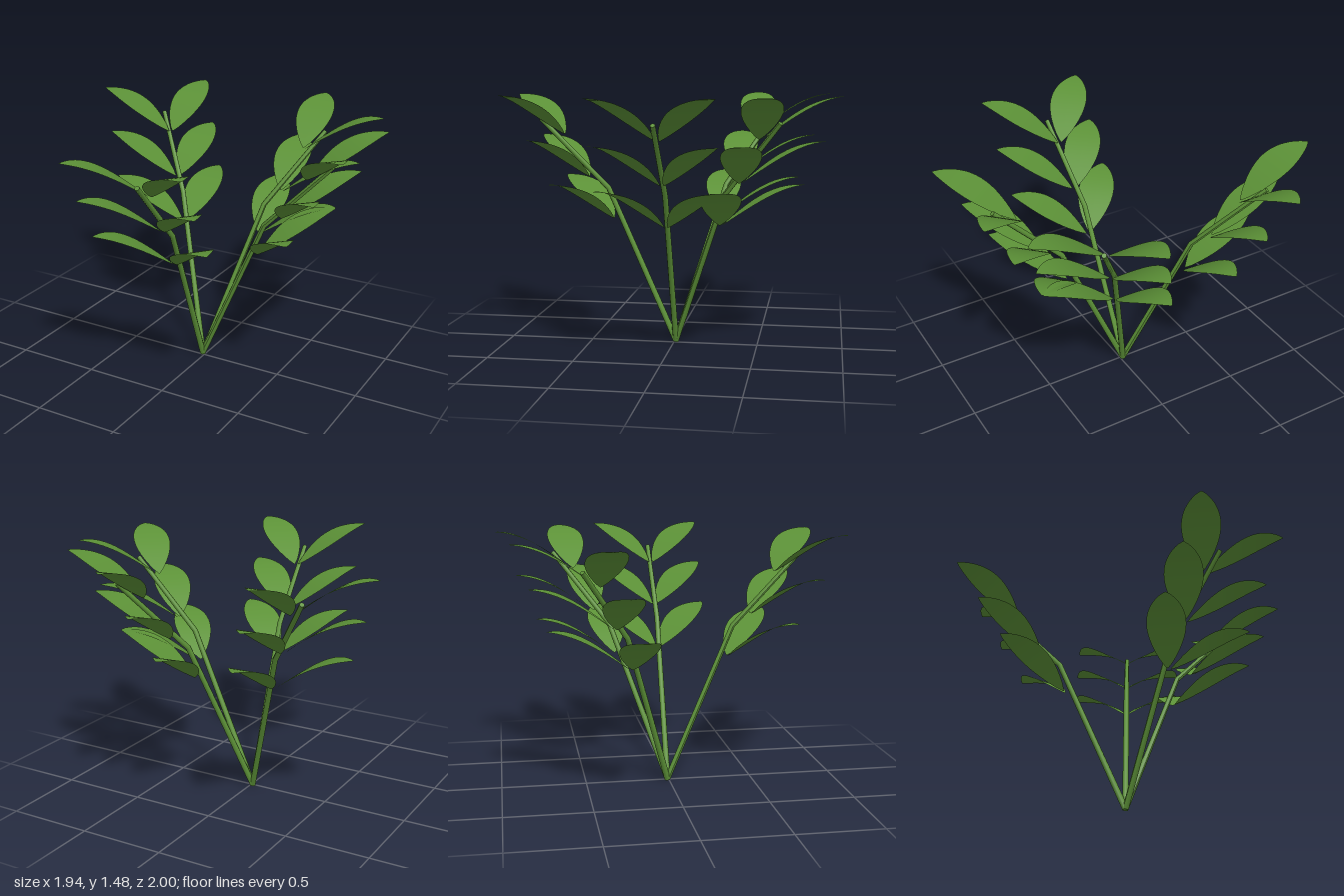
import * as THREE from 'three';

const leafGreen = new THREE.MeshStandardMaterial({ color: 0x5c9137, side: THREE.DoubleSide });
leafGreen.name = 'leaf green';

// Kinked, tapering stem leaning towards +x: one ring of vertices per row
function stemGeometry() {
  const rows = [
    { x: 0.8, y: 1.34, r: 0.014, tilt: 0.76 },
    { x: 0.4, y: 0.93, r: 0.016, tilt: 0.58 },
    { x: 0, y: 0.007, r: 0.018, tilt: 0.41 },
  ];
  const geo = new THREE.CylinderGeometry(1, 1, 2, 8, 2);
  const p = geo.attributes.position;
  for (let i = 0; i < p.count; i++) {
    const row = rows[Math.round(1 - p.getY(i))];
    const side = p.getX(i) * row.r;
    p.setXYZ(i,
      row.x + side * Math.cos(row.tilt),
      row.y - side * Math.sin(row.tilt),
      p.getZ(i) * row.r);
  }
  geo.computeVertexNormals();
  return geo;
}

// Thin leaf growing along +x, rising steeply and levelling off at the tip
function leafGeometry() {
  const length = 0.46, rise = 0.23, halfWidth = 0.107;
  const geo = new THREE.PlaneGeometry(1, 2, 18, 2);
  const p = geo.attributes.position;
  for (let i = 0; i < p.count; i++) {
    const t = p.getX(i) + 0.5;
    const width = 0.004 + halfWidth * Math.pow(Math.max(0, Math.sin(Math.PI * t)), 0.85);
    p.setXYZ(i, t * length, rise * Math.sin(t * Math.PI / 2), -p.getY(i) * width);
  }
  geo.computeVertexNormals();
  return geo;
}

export function createModel() {
  const plant = new THREE.Group();
  plant.name = 'plant';
  const stemGeo = stemGeometry();
  const leafGeo = leafGeometry();

  // Four stems turned by the golden angle
  for (let i = 0; i < 4; i++) {
    const branch = new THREE.Group();
    branch.name = 'branch';
    branch.position.set(-0.015, 0, -0.01);
    branch.rotation.y = THREE.MathUtils.degToRad(137.5 * i);

    const stem = new THREE.Mesh(stemGeo, leafGreen);
    stem.name = 'stem';
    branch.add(stem);

    // Three pairs of leaves, spread 45 degrees to either side
    for (let j = 0; j < 3; j++) {
      for (const side of [-1, 1]) {
        const leaf = new THREE.Mesh(leafGeo, leafGreen);
        leaf.name = 'leaf';
        leaf.position.set(0.37 + 0.145 * j, 0.75 + 0.25 * j, side * 0.012);
        leaf.rotation.y = -side * Math.PI / 4;
        branch.add(leaf);
      }
    }
    plant.add(branch);
  }
  return plant;
}
